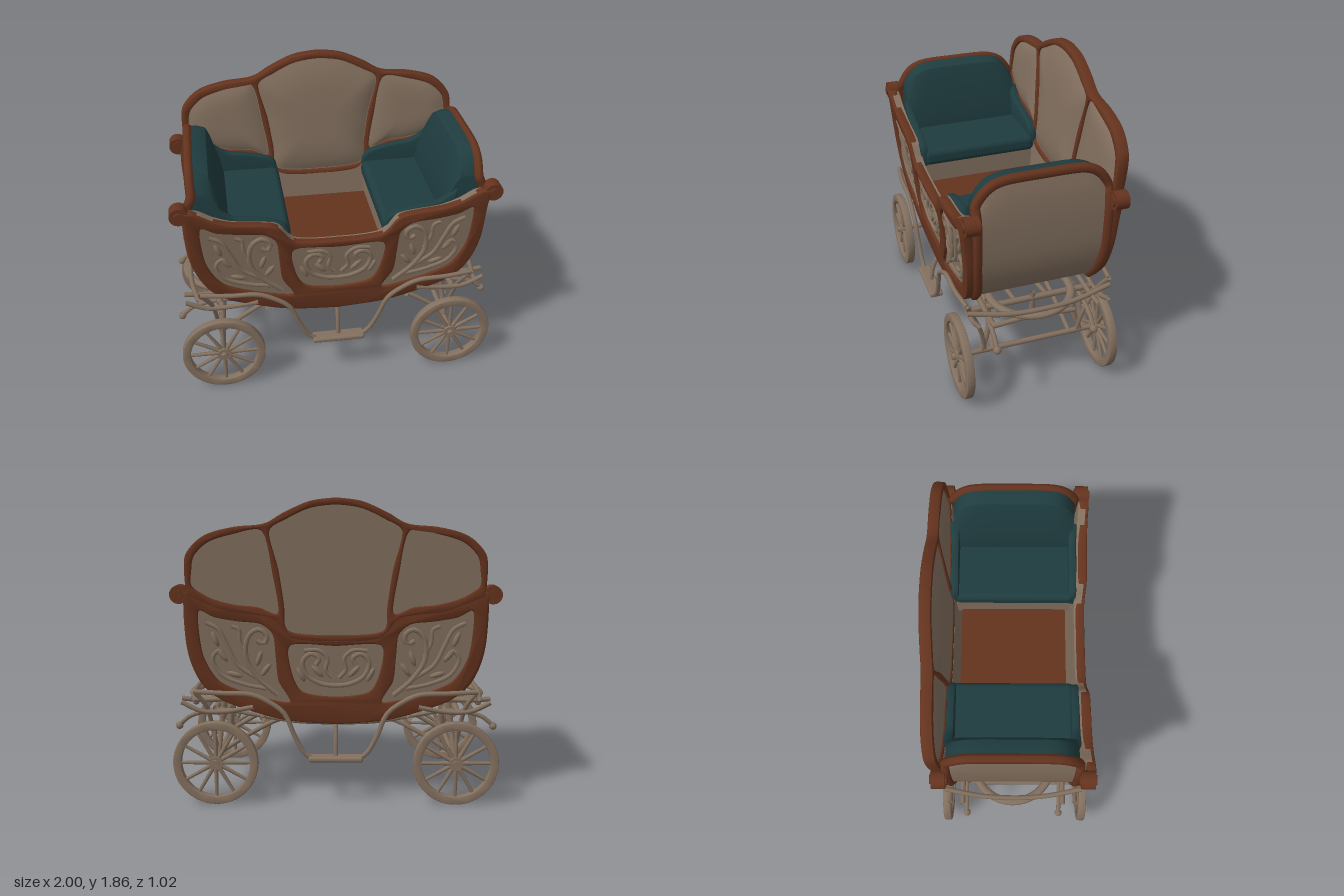
import * as THREE from 'three';
import { toCreasedNormals } from 'three/addons/utils/BufferGeometryUtils.js';
import { RoundedBoxGeometry } from 'three/addons/geometries/RoundedBoxGeometry.js';

const mat = (name, color, side = THREE.FrontSide) => {
  const m = new THREE.MeshStandardMaterial({ color, side });
  m.name = name;
  return m;
};
const wood = mat('red brown wood', 0x64331e);
const taupe = mat('taupe paint', 0x83705f, THREE.DoubleSide);
const teal = mat('teal upholstery', 0x1f3c3f);

const add = (parent, name, geo, material, x = 0, y = 0, z = 0) => {
  const m = new THREE.Mesh(geo, material);
  m.name = name;
  m.position.set(x, y, z);
  parent.add(m);
  return m;
};
const V2 = pts => pts.map(p => new THREE.Vector2(...p));
const V3 = pts => pts.map(p => new THREE.Vector3(...p));
const tube = (parent, name, pts, r, material = taupe, n = 24) =>
  add(parent, name, new THREE.TubeGeometry(new THREE.CatmullRomCurve3(V3(pts)), n, r, 7), material);
const smooth = (pts, n = 5) => new THREE.SplineCurve(V2(pts)).getPoints(pts.length * n);
const mirrorX = pts => pts.map(p => new THREE.Vector2(-p.x, p.y)).reverse();
// closed symmetric outline from right-half curves running bottom to top centre
const symmetric = half => [...half, ...mirrorX(half).slice(1, -1)];
const loop = pts => {
  const c = new THREE.CatmullRomCurve3(V3(pts.map(p => [...p, 0])), true, 'catmullrom', 0.4);
  return c.getPoints(pts.length * 5).slice(0, -1).map(p => new THREE.Vector2(p.x, p.y));
};
const scaled = (pts, cy, k) => pts.map(p => new THREE.Vector2(p.x * k, cy + (p.y - cy) * k));
const plate = (outline, holes, z0, z1, bevel = 0) => {
  const s = new THREE.Shape(outline);
  holes.forEach(h => s.holes.push(new THREE.Path(h)));
  const g = new THREE.ExtrudeGeometry(s, {
    depth: z1 - z0 - 2 * bevel, bevelEnabled: bevel > 0, bevelSize: bevel,
    bevelThickness: bevel, bevelSegments: 2, bevelOffset: -bevel });
  g.translate(0, 0, z0 + bevel);
  return toCreasedNormals(g, 0.6);
};
// gently puffed lining: shrinking copies of an outline, rising towards the centre
function lining(outline, cx, cy, depth) {
  const pos = [], idx = [], n = outline.length, rings = 10;
  for (let k = 0; k <= rings; k++) {
    const f = 1 - k / rings;
    for (const p of outline) pos.push(cx + (p.x - cx) * f, cy + (p.y - cy) * f, -0.048 - depth * (1 - f ** 4));
  }
  for (let k = 0; k < rings; k++)
    for (let i = 0; i < n; i++) {
      const a = k * n + i, b = k * n + (i + 1) % n;
      idx.push(a, a + n, b, b, a + n, b + n);
    }
  const g = new THREE.BufferGeometry();
  g.setAttribute('position', new THREE.Float32BufferAttribute(pos, 3));
  g.setIndex(idx);
  g.computeVertexNormals();
  return g;
}
// the side walls lean outwards as they rise
const LEAN = new THREE.Matrix4().set(1, 0, 0, 0, 0, 1, 0, 0, 0, 0.083, 1, 0.3685, 0, 0, 0, 1);
const lean = mesh => { mesh.geometry.applyMatrix4(LEAN); return mesh; };

const RAIL = [[0.9, 1.33], [0.84, 1.32], [0.75, 1.265], [0.64, 1.225], [0.48, 1.205], [0.37, 1.18], [0.305, 1.1], [0.25, 1.06], [0.12, 1.045], [0, 1.045]];
const SILL = [[0, 0.505], [0.3, 0.53], [0.53, 0.595], [0.71, 0.67], [0.82, 0.79], [0.88, 0.97], [0.895, 1.2], [0.905, 1.29]];

function makeSide(tall) {
  const g = new THREE.Group();
  const low = symmetric([...smooth(SILL), ...smooth(RAIL)]);
  const panelR = loop([[0.81, 1.215], [0.72, 1.175], [0.58, 1.15], [0.45, 1.135], [0.375, 1.07], [0.36, 0.93], [0.345, 0.78], [0.28, 0.645], [0.5, 0.69], [0.7, 0.775], [0.79, 0.92], [0.815, 1.08]]);
  const door = loop([[0.27, 1.005], [0, 1.0], [-0.27, 1.005], [-0.265, 0.83], [-0.2, 0.71], [0, 0.68], [0.2, 0.71], [0.265, 0.83]]);
  lean(add(g, 'lowerFrame', plate(low, [panelR, mirrorX(panelR), door], -0.058, 0, 0.01), wood));
  lean(add(g, 'lowerPanel', plate(scaled(low, 0.9, 0.97), [], -0.068, -0.02), taupe));
  // carved scrolls and leaves
  for (const s of [1, -1]) {
    const carve = (r, pts) => lean(tube(g, 'carvedScroll', pts.map(([x, y]) => [x * s, y, -0.018]), r));
    carve(0.016, [[0.35, 0.69], [0.47, 0.8], [0.54, 0.93], [0.52, 1.06], [0.46, 1.1], [0.41, 1.06], [0.43, 1.01], [0.47, 1.03]]);
    carve(0.014, [[0.48, 0.8], [0.59, 0.88], [0.65, 1.0], [0.7, 1.1], [0.77, 1.14]]);
    carve(0.013, [[0.42, 0.73], [0.56, 0.76], [0.69, 0.82], [0.74, 0.92], [0.7, 0.97], [0.66, 0.92]]);
    carve(0.012, [[0.53, 0.93], [0.57, 1.02], [0.58, 1.1], [0.62, 1.12]]);
    carve(0.015, [[0, 0.75], [0.08, 0.76], [0.17, 0.81], [0.2, 0.9], [0.15, 0.95], [0.1, 0.92], [0.12, 0.88]]);
    carve(0.013, [[0.02, 0.8], [0.06, 0.85], [0.05, 0.92], [0.1, 0.97], [0.19, 0.97]]);
    for (const [x, y, a] of [[0.46, 0.92, 1.9], [0.42, 0.85, 2.2], [0.61, 0.82, 0.3], [0.68, 0.94, 0.9], [0.72, 1.04, 1.2], [0.11, 0.84, 0.8], [0.21, 0.82, 1.1]]) {
      const leaf = new THREE.SphereGeometry(0.05, 10, 6).scale(1, 0.34, 0.3).rotateZ(a * s);
      leaf.translate(x * s, y, -0.018);
      lean(add(g, 'carvedLeaf', leaf, taupe));
    }
    // scrolled rail ends
    add(g, 'railKnob', new THREE.CylinderGeometry(0.055, 0.055, 0.08, 20).rotateX(Math.PI / 2), wood, s * 0.925, 1.31, 0.432);
    add(g, 'railKnobBoss', new THREE.CylinderGeometry(0.028, 0.034, 0.1, 16).rotateX(Math.PI / 2), wood, s * 0.925, 1.31, 0.432);
  }
  if (tall) {
    const crest = smooth([[0.88, 1.3], [0.885, 1.48], [0.86, 1.57], [0.76, 1.66], [0.6, 1.705], [0.42, 1.725], [0.3, 1.79], [0.15, 1.855], [0, 1.875]]);
    const high = symmetric([...smooth(RAIL.slice(2).reverse().map(([x, y]) => [x, y - 0.02])), ...crest]);
    const centre = loop([[0, 1.835], [0.15, 1.815], [0.29, 1.75], [0.385, 1.68], [0.335, 1.46], [0.305, 1.25], [0.28, 1.09], [0, 1.065], [-0.28, 1.09], [-0.305, 1.25], [-0.335, 1.46], [-0.385, 1.68], [-0.29, 1.75], [-0.15, 1.815]]);
    const wing = loop([[0.425, 1.685], [0.6, 1.665], [0.74, 1.62], [0.825, 1.54], [0.845, 1.45], [0.845, 1.36], [0.74, 1.29], [0.6, 1.25], [0.46, 1.235], [0.34, 1.2], [0.37, 1.44]]);
    lean(add(g, 'backrestFrame', plate(high, [centre, wing, mirrorX(wing)], -0.067, 0.002, 0.012), wood));
    lean(add(g, 'backrestPanel', plate(scaled(high, 1.4, 0.985), [], -0.05, -0.018), taupe));
    lean(add(g, 'backrestLining', lining(centre, 0, 1.42, 0.04), taupe));
    lean(add(g, 'backrestLining', lining(wing, 0.6, 1.45, 0.025), taupe));
    lean(add(g, 'backrestLining', lining(mirrorX(wing), -0.6, 1.45, 0.025), taupe));
  }
  return g;
}

// hull sheet: end wall curving under into the floor
const hullCurve = new THREE.SplineCurve(V2([[0.85, 1.515], [0.875, 1.38], [0.885, 1.2], [0.87, 0.97], [0.81, 0.79], [0.69, 0.67], [0.4, 0.56], [0, 0.515]]));
const cornerDrop = s => 0.14 * Math.pow(Math.abs(s), 6);
function hullPoint(u, s) {
  const p = hullCurve.getPoint(u);
  const w = Math.min(0.385, 0.355 + 0.09 * (p.y - 0.65));
  return [p.x, p.y - cornerDrop(s) * Math.max(0, (p.y - 1.25) / 0.265), s * w];
}

function makeEnd() {
  const g = new THREE.Group();
  const sheet = new THREE.PlaneGeometry(1, 1, 24, 36);
  const pos = sheet.attributes.position;
  for (let i = 0; i < pos.count; i++) pos.setXYZ(i, ...hullPoint(0.5 - pos.getY(i), -pos.getX(i) * 2));
  sheet.computeVertexNormals();
  add(g, 'endWall', sheet, taupe);
  const rim = [];
  for (let i = 8; i > 0; i--) rim.push(hullPoint(i * 0.085, 1));
  for (let i = 0; i <= 14; i++) rim.push(hullPoint(0, 1 - i / 7));
  for (let i = 1; i <= 8; i++) rim.push(hullPoint(i * 0.085, -1));
  tube(g, 'endRim', rim, 0.029, wood, 90);

  // seat
  add(g, 'seatCushion', new RoundedBoxGeometry(0.42, 0.11, 0.77, 4, 0.04), teal, 0.49, 1.07, 0.005);
  add(g, 'seatFront', new THREE.BoxGeometry(0.02, 0.17, 0.74), taupe, 0.31, 0.95, 0);
  const back = new THREE.ExtrudeGeometry(new THREE.Shape(V2([[0.63, 1.06], [0.67, 1.27], [0.715, 1.45], [0.74, 1.51], [0.79, 1.53], [0.845, 1.53], [0.86, 1.4], [0.87, 1.2], [0.85, 1.0], [0.64, 1.0]])),
    { depth: 0.76, steps: 24, bevelEnabled: false }).translate(0, 0, -0.38);
  const bp = back.attributes.position;
  for (let i = 0; i < bp.count; i++)
    bp.setY(i, bp.getY(i) - cornerDrop(bp.getZ(i) / 0.38) * Math.max(0, (bp.getY(i) - 1.2) / 0.32));
  add(g, 'seatBack', toCreasedNormals(back, 0.7), teal);
  return g;
}

// upholstered pads along the side walls next to each seat
function addSeatPads(parent) {
  const lip = smooth([[0.285, 1.05], [0.3, 1.16], [0.37, 1.205], [0.5, 1.235], [0.62, 1.255], [0.72, 1.33]]);
  lip.push(new THREE.Vector2(0.72, 1.03));
  const low = lip.map(p => new THREE.Vector2(p.x, p.y - 0.025));
  for (const side of [p => p, mirrorX]) {
    add(parent, 'rearSeatPad', plate(side(lip), [], -0.405, -0.35, 0.014), teal);
    add(parent, 'frontSeatPad', plate(side(low), [], 0.35, 0.4, 0.014), teal);
  }
}

function makeWheel() {
  const g = new THREE.Group();
  g.name = 'wheel';
  const s = new THREE.Shape().absarc(0, 0, 0.26, 0, Math.PI * 2);
  s.holes.push(new THREE.Path().absarc(0, 0, 0.21, 0, Math.PI * 2));
  const rim = new THREE.ExtrudeGeometry(s, { depth: 0.036, bevelSize: 0.008, bevelOffset: -0.008, bevelThickness: 0.007, bevelSegments: 2, curveSegments: 40 });
  add(g, 'rim', toCreasedNormals(rim.translate(0, 0, -0.018), 0.6), taupe);
  for (let i = 0; i < 12; i++)
    add(g, 'spoke', new THREE.CylinderGeometry(0.01, 0.014, 0.195, 8).translate(0, 0.12, 0).rotateZ(i * Math.PI / 6), taupe);
  add(g, 'hub', new THREE.CylinderGeometry(0.042, 0.042, 0.05, 20).rotateX(Math.PI / 2), taupe);
  add(g, 'hubCap', new THREE.CylinderGeometry(0.018, 0.026, 0.09, 16).rotateX(Math.PI / 2), taupe);
  return g;
}

function makeUndercarriage() {
  const g = new THREE.Group();
  g.name = 'undercarriage';
  for (const x of [1, -1]) {
    const bar = (name, r, pts) => tube(g, name, pts.map(p => [p[0] * x, p[1], p[2]]), r);
    bar('axle', 0.018, [[0.735, 0.275, -0.43], [0.735, 0.275, 0.45]]);
    bar('crossBar', 0.016, [[0.735, 0.44, -0.28], [0.735, 0.46, 0], [0.735, 0.44, 0.28]]);
    bar('springBar', 0.016, [[0.86, 0.68, -0.44], [0.9, 0.65, -0.2], [0.91, 0.645, 0], [0.9, 0.65, 0.2], [0.86, 0.68, 0.44]]);
    bar('bolster', 0.02, [[0.735, 0.6, -0.38], [0.735, 0.6, 0.38]]);
    bar('kingPin', 0.018, [[0.735, 0.45, 0], [0.735, 0.64, 0]]);
    add(g, 'turntable', new THREE.TorusGeometry(0.25, 0.026, 8, 40).rotateX(Math.PI / 2).scale(1, 0.7, 1), taupe, x * 0.68, 0.62, 0);
    for (const z of [1, -1]) {
      const rod = (name, r, pts) => bar(name, r, pts.map(p => [p[0], p[1], p[2] * z]));
      const w = makeWheel();
      w.position.set(x * 0.733, 0.273, z * 0.45 + 0.012);
      g.add(w);
      rod('upperSpring', 0.016, [[0.95, 0.65, 0.32], [0.84, 0.64, 0.32], [0.65, 0.64, 0.32], [0.5, 0.6, 0.32]]);
      rod('leafSpring', 0.015, [[0.94, 0.645, 0.4], [0.82, 0.59, 0.4], [0.68, 0.585, 0.4], [0.5, 0.62, 0.42]]);
      rod('lowerSpring', 0.014, [[0.98, 0.47, 0.3], [0.9, 0.535, 0.3], [0.7, 0.57, 0.3], [0.5, 0.54, 0.3], [0.25, 0.5, 0.3], [0, 0.49, 0.3]]);
      add(g, 'springKnob', new THREE.SphereGeometry(0.024, 12, 8), taupe, x * 0.976, 0.47, z * 0.3);
      rod('sideRail', 0.015, [[0.85, 0.72, 0.44], [0.68, 0.715, 0.46], [0.5, 0.705, 0.46], [0.4, 0.66, 0.46], [0.31, 0.59, 0.46], [0.25, 0.45, 0.455], [0.19, 0.34, 0.45], [0.14, 0.305, 0.45]]);
      rod('railStay', 0.014, [[0.85, 0.72, 0.44], [0.79, 0.62, 0.4], [0.76, 0.44, 0.33], [0.735, 0.28, 0.3]]);
      rod('axlePost', 0.018, [[0.735, 0.28, 0.32], [0.72, 0.45, 0.27], [0.7, 0.62, 0.27]]);
      rod('axleBrace', 0.015, [[0.735, 0.28, 0.25], [0.5, 0.42, 0.22], [0.34, 0.49, 0.2], [0.15, 0.51, 0.2]]);
    }
  }
  for (const z of [-1, 1]) {
    // footsteps
    add(g, 'footstep', new RoundedBoxGeometry(0.33, 0.034, 0.085, 3, 0.014), taupe, 0, 0.305, z * 0.445);
    tube(g, 'stepPost', [[0, 0.31, z * 0.44], [0, 0.42, z * 0.42], [0, 0.52, z * 0.38]], 0.014);
    tube(g, 'perch', [[-0.7, 0.58, z * 0.1], [-0.3, 0.51, z * 0.1], [0.3, 0.51, z * 0.1], [0.7, 0.58, z * 0.1]], 0.016);
  }
  for (const x of [-0.45, -0.2, 0.2, 0.45])
    tube(g, 'underSlat', [[x, 0.535, -0.38], [x, 0.535, 0.38]], 0.016);
  return g;
}

export function createModel() {
  const model = new THREE.Group();
  model.name = 'openCarriage';
  const front = makeSide(false), rear = makeSide(true);
  front.name = 'frontSide';
  rear.name = 'rearSide';
  rear.rotation.y = Math.PI;
  rear.position.z = 0.008;
  const left = makeEnd(), right = makeEnd();
  left.name = 'leftEnd';
  right.name = 'rightEnd';
  right.rotation.y = Math.PI;
  model.add(front, rear, left, right, makeUndercarriage());
  addSeatPads(model);
  add(model, 'floor', new THREE.BoxGeometry(0.64, 0.03, 0.68), wood, 0, 0.88, 0);
  return model;
}
